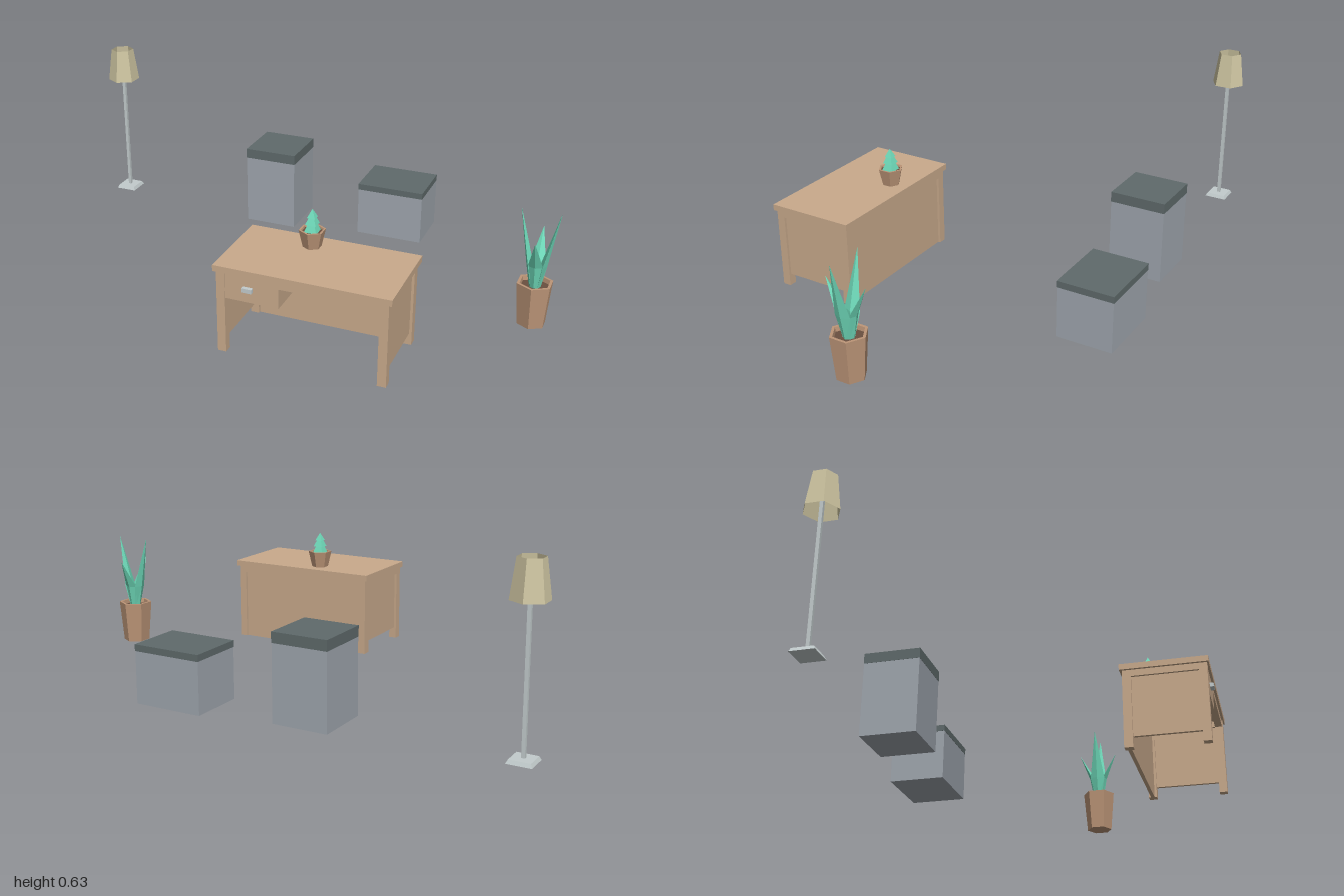
import * as THREE from 'three';

const mat = (name, color, side = THREE.FrontSide) => {
  const m = new THREE.MeshStandardMaterial({ color, flatShading: true, side });
  m.name = name;
  return m;
};

export function createModel() {
  const wood = mat('wood', 0xc9aa8c);
  const clay = mat('clay', 0xbd9678, THREE.DoubleSide);
  const soil = mat('soil', 0x6a5040);
  const mint = mat('leaf mint', 0x6ed8b8);
  const body = mat('cabinet grey', 0x9fa6ae);
  const dark = mat('slate', 0x5f6a6b);
  const metal = mat('pale metal', 0xc3cccd);
  const cream = mat('lampshade cream', 0xcfc6a2, THREE.DoubleSide);

  const root = new THREE.Group();
  const group = (name, x = 0, y = 0, z = 0) => {
    const g = new THREE.Group();
    g.name = name;
    g.position.set(x, y, z);
    root.add(g);
    return g;
  };
  const add = (parent, name, geometry, material) => {
    const m = new THREE.Mesh(geometry, material);
    m.name = name;
    parent.add(m);
    return m;
  };
  // box given by its min and max on each axis
  const box = (parent, name, material, x0, x1, y0, y1, z0, z1) => {
    const m = add(parent, name, new THREE.BoxGeometry(x1 - x0, y1 - y0, z1 - z0), material);
    m.position.set((x0 + x1) / 2, (y0 + y1) / 2, (z0 + z1) / 2);
    return m;
  };

  // Desk
  const desk = group('desk');
  box(desk, 'deskTop', wood, -0.01, 0.598, 0.298, 0.32, 0.294, 0.616);
  const posts = [[0.0, 0.03], [0.557, 0.587]];
  for (const [x0, x1] of posts) {
    box(desk, 'backLeg', wood, x0, x1, 0, 0.298, 0.303, 0.335);
    box(desk, 'frontLeg', wood, x0, x1, 0, 0.298, 0.58, 0.61);
    box(desk, 'sideRail', wood, x0, x1, 0.273, 0.298, 0.335, 0.58);
    box(desk, 'sidePanel', wood, x0 + 0.009, x1 - 0.009, 0.043, 0.273, 0.335, 0.58);
  }
  box(desk, 'backPanel', wood, 0.03, 0.557, 0, 0.273, 0.312, 0.326);
  box(desk, 'backRail', wood, 0.03, 0.557, 0.273, 0.298, 0.303, 0.335);
  box(desk, 'frontRail', wood, 0.22, 0.557, 0.273, 0.298, 0.58, 0.607);
  box(desk, 'drawer', wood, 0.03, 0.22, 0.203, 0.298, 0.335, 0.607);
  box(desk, 'drawerHandle', metal, 0.095, 0.131, 0.244, 0.259, 0.607, 0.621);

  // Two cabinets with slate lids
  const cabinet = (name, x0, x1, z0, z1, seam, top) => {
    const g = group(name);
    box(g, 'cabinetBody', body, x0, x1, 0, seam, z0, z1);
    box(g, 'cabinetLid', dark, x0 - 0.001, x1 + 0.001, seam, top, z0 - 0.001, z1 + 0.001);
  };
  cabinet('tallCabinet', -0.323, -0.118, -0.559, -0.353, 0.275, 0.313);
  cabinet('lowCabinet', 0.136, 0.397, -0.618, -0.411, 0.188, 0.212);

  // Floor lamp
  const lamp = group('floorLamp', -0.945, 0, -0.465);
  const base = add(lamp, 'lampBase',
    new THREE.CylinderGeometry(0.036 * Math.SQRT2, 0.042 * Math.SQRT2, 0.013, 4).rotateY(Math.PI / 4), metal);
  base.position.y = 0.0065;
  box(lamp, 'lampPole', metal, -0.006, 0.006, 0.013, 0.56, -0.006, 0.006);
  const shade = add(lamp, 'lampShade', new THREE.CylinderGeometry(0.045, 0.063, 0.13, 6, 1, true), cream);
  shade.position.y = 0.562;

  // Six-sided open pot with a rim and soil
  const pot = (g, rTop, rBottom, h) => {
    const profile = [[0, 0], [rBottom, 0], [rTop, h], [rTop * 0.84, h], [rTop * 0.8, h * 0.88]];
    add(g, 'pot', new THREE.LatheGeometry(profile.map(([r, y]) => new THREE.Vector2(r, y)), 6), clay);
    add(g, 'soil', new THREE.CircleGeometry(rTop * 0.81, 6).rotateX(-Math.PI / 2).rotateY(Math.PI / 6), soil)
      .position.y = h * 0.9;
  };

  // Keeled leaf leaning towards +z; each row is height, lean, half width, half depth
  const leafGeometry = (rows) => {
    const p = [], index = [];
    for (const [y, z, w, d] of rows) p.push(0, y, z + d, w, y, z, 0, y, z - d, -w, y, z);
    for (let r = 0; r < rows.length - 1; r++) {
      for (let i = 0; i < 4; i++) {
        const a = r * 4 + i, b = r * 4 + (i + 1) % 4;
        index.push(a, b, b + 4, a, b + 4, a + 4);
      }
    }
    const g = new THREE.BufferGeometry();
    g.setAttribute('position', new THREE.Float32BufferAttribute(p, 3));
    g.setIndex(index);
    const flat = g.toNonIndexed();
    flat.computeVertexNormals();
    return flat;
  };

  // Tall potted plant with four leaves
  const plant = group('pottedPlant', 0.929, 0, 0.033);
  pot(plant, 0.065, 0.051, 0.16);
  for (let i = 0; i < 4; i++) {
    const tall = i % 2 === 1;
    const tip = tall ? 0.425 : 0.337, lean = tall ? 0.067 : 0.077;
    const leaf = add(plant, 'leaf', leafGeometry([
      [0.14, 0.012, 0.014, 0.008],
      [0.228, 0.024, tall ? 0.03 : 0.026, 0.012],
      [tip, lean, 0.0005, 0.0005],
    ]), mint);
    leaf.rotation.y = i * Math.PI / 2;
  }

  // Small potted plant on the desk, with stacked tiers
  const small = group('deskPlant', 0.24, 0.32, 0.367);
  pot(small, 0.046, 0.032, 0.062);
  const tiers = [[0.05, 0.085, 0.024, 0.011], [0.082, 0.109, 0.019, 0.008], [0.106, 0.136, 0.014, 0.0003]];
  for (const [y0, y1, w0, w1] of tiers) {
    const tier = add(small, 'plantTier',
      new THREE.CylinderGeometry(w1 * Math.SQRT2, w0 * Math.SQRT2, y1 - y0, 4).rotateY(Math.PI / 4), mint);
    tier.position.y = (y0 + y1) / 2;
  }

  return root;
}
